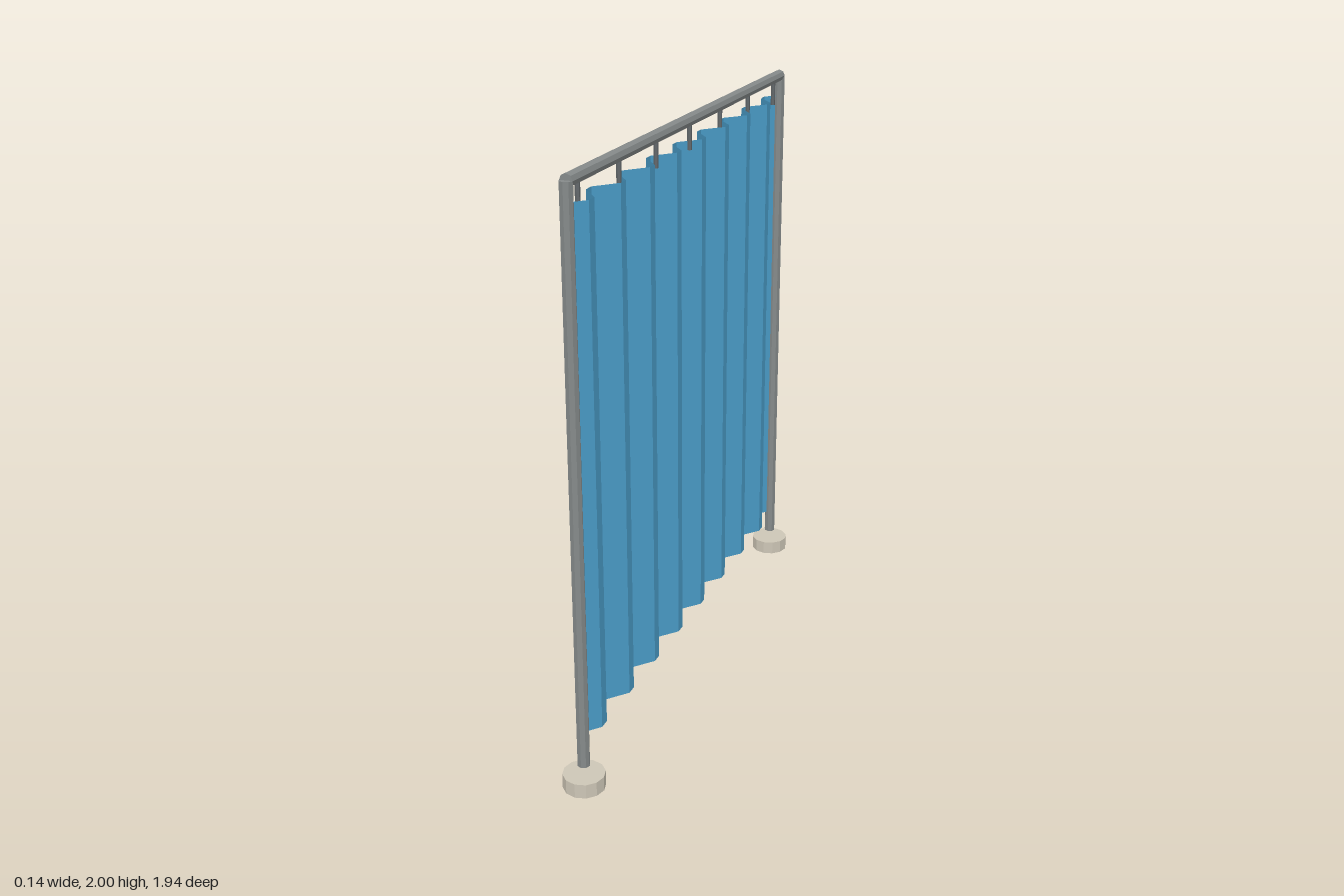
import * as THREE from 'three';

const metal = new THREE.MeshStandardMaterial({ color: 0x858a8a, flatShading: true });
const darkMetal = new THREE.MeshStandardMaterial({ color: 0x62676a, flatShading: true });
const stone = new THREE.MeshStandardMaterial({ color: 0xcdc6b6, flatShading: true });
const cloth = new THREE.MeshStandardMaterial({ color: 0x4a9cc8, flatShading: true, side: THREE.DoubleSide });

// Upright cylinder spanning yLow to yHigh at depth z
function upright(name, radius, yLow, yHigh, z, sides, material) {
  const mesh = new THREE.Mesh(new THREE.CylinderGeometry(radius, radius, yHigh - yLow, sides), material);
  mesh.name = name;
  mesh.position.set(0, (yLow + yHigh) / 2, z);
  return mesh;
}

// Pleated sheet: a plane turned to face +x, then pushed in and out along a coarse sine
function makeCurtain() {
  const length = 1.714, yLow = 0.18, yHigh = 1.91, folds = 8, depth = 0.035;
  const geometry = new THREE.PlaneGeometry(length, yHigh - yLow, folds * 6, 1);
  geometry.rotateY(Math.PI / 2);
  const pos = geometry.attributes.position;
  for (let i = 0; i < pos.count; i++) {
    const t = 0.5 - pos.getZ(i) / length;
    pos.setX(i, depth * Math.sin(t * folds * Math.PI * 2));
  }
  geometry.computeVertexNormals();
  const curtain = new THREE.Mesh(geometry, cloth);
  curtain.name = 'curtain';
  curtain.position.y = (yLow + yHigh) / 2;
  return curtain;
}

export function createModel() {
  const group = new THREE.Group();
  group.name = 'curtainScreen';

  // Posts and their feet
  for (const [side, z] of [['front', 0.9], ['back', -0.9]]) {
    group.add(upright(side + 'Post', 0.021, 0.08, 1.98, z, 8, metal));
    group.add(upright(side + 'Foot', 0.07, 0, 0.05, z, 12, stone));
  }

  // Top rail
  const rail = new THREE.Mesh(new THREE.CylinderGeometry(0.021, 0.021, 1.8, 8), metal);
  rail.name = 'topRail';
  rail.rotation.x = Math.PI / 2;
  rail.position.y = 1.979;
  group.add(rail);

  // Hangers under the rail
  for (let i = 0; i < 7; i++) {
    group.add(upright('hanger' + (i + 1), 0.008, 1.88, 1.97, 0.83 - (i * 1.66) / 6, 6, darkMetal));
  }

  group.add(makeCurtain());
  return group;
}
